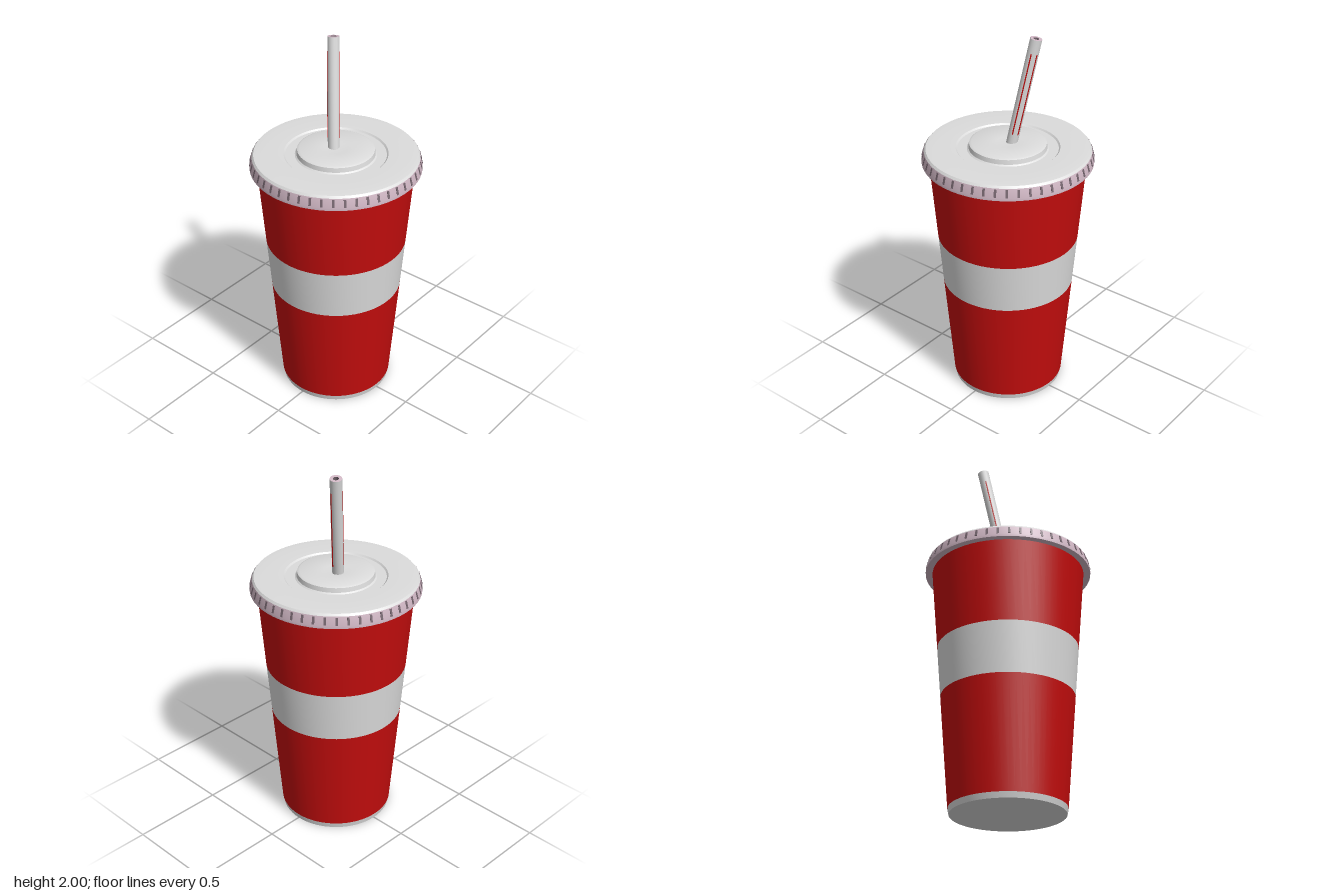
import * as THREE from 'three';
import { toCreasedNormals } from 'three/addons/utils/BufferGeometryUtils.js';

const mat = (name, color) => new THREE.MeshStandardMaterial({ name, color });

export function createModel() {
  const red = mat('red', 0xc30d0d);
  const white = mat('white', 0xdcdcdc);
  const pink = mat('pale pink', 0xd2b9c6);
  const mauve = mat('dark mauve', 0x75656e);
  const group = new THREE.Group();

  const add = (name, geometry, material, parent = group) => {
    const mesh = new THREE.Mesh(geometry, material);
    mesh.name = name;
    parent.add(mesh);
    return mesh;
  };
  // Profiles run from bottom to top so faces point outward
  const lathe = (name, pts, material, parent = group, sides = 64) =>
    add(name, toCreasedNormals(new THREE.LatheGeometry(
      pts.map(([r, y]) => new THREE.Vector2(r, y)), sides), 0.5), material, parent);

  // Tapered cup, split into colour bands
  const radius = (y) => 0.3 + 0.082 * y;
  const band = (name, y0, y1, material) =>
    lathe(name, [[radius(y0), y0], [radius(y1), y1]], material);
  lathe('cupBase', [[0, 0.006], [0.2, 0.004], [0.296, 0], [radius(0.03), 0.03]], white);
  band('lowerCup', 0.03, 0.625, red);
  band('cupBand', 0.625, 0.9, white);
  band('upperCup', 0.9, 1.35, red);

  // Lid: flared rim, then a top with a shallow groove around a raised disc
  lathe('lidRim', [[0.4, 1.34], [0.447, 1.338], [0.447, 1.352], [0.434, 1.4]], pink);
  lathe('lidTop', [[0.434, 1.4], [0.425, 1.411], [0.39, 1.414], [0.27, 1.412],
    [0.262, 1.404], [0.212, 1.404], [0.204, 1.41], [0.2, 1.434], [0.188, 1.44],
    [0.06, 1.436], [0, 1.43]].map(([r, y]) => [r, y]), white);

  // Crimped ribs around the rim
  const ribs = new THREE.Group();
  ribs.name = 'rimRibs';
  group.add(ribs);
  const ribGeometry = new THREE.BoxGeometry(0.012, 0.04, 0.006);
  for (let i = 0; i < 48; i++) {
    const a = (i / 48) * Math.PI * 2;
    const rib = add('rimRib', ribGeometry, mauve, ribs);
    rib.position.set(Math.sin(a) * 0.44, 1.375, Math.cos(a) * 0.44);
    rib.rotation.set(-0.26, a, 0, 'YXZ');
  }

  // Leaning hollow straw
  const start = new THREE.Vector3(0.005, 1.41, -0.02);
  const end = new THREE.Vector3(0.1, 1.996, -0.098);
  const axis = end.clone().sub(start);
  const length = axis.length();
  const straw = new THREE.Group();
  straw.name = 'straw';
  straw.position.copy(start);
  straw.quaternion.setFromUnitVectors(new THREE.Vector3(0, 1, 0), axis.normalize());
  group.add(straw);
  lathe('strawTube', [[0.03, 0], [0.031, length]], white, straw, 16);
  lathe('strawLip', [[0.031, length], [0.015, length]], pink, straw, 16);
  lathe('strawInside', [[0.015, length], [0.015, length - 0.15], [0, length - 0.15]], mauve, straw, 16);

  // Thin stripes along the straw
  for (const a of [0.35, 1.35, 3.9]) {
    const stripe = add('strawStripe', new THREE.BoxGeometry(0.006, length - 0.15, 0.003), red, straw);
    stripe.position.set(Math.sin(a) * 0.0305, length / 2, Math.cos(a) * 0.0305);
    stripe.rotation.y = a;
  }
  return group;
}
